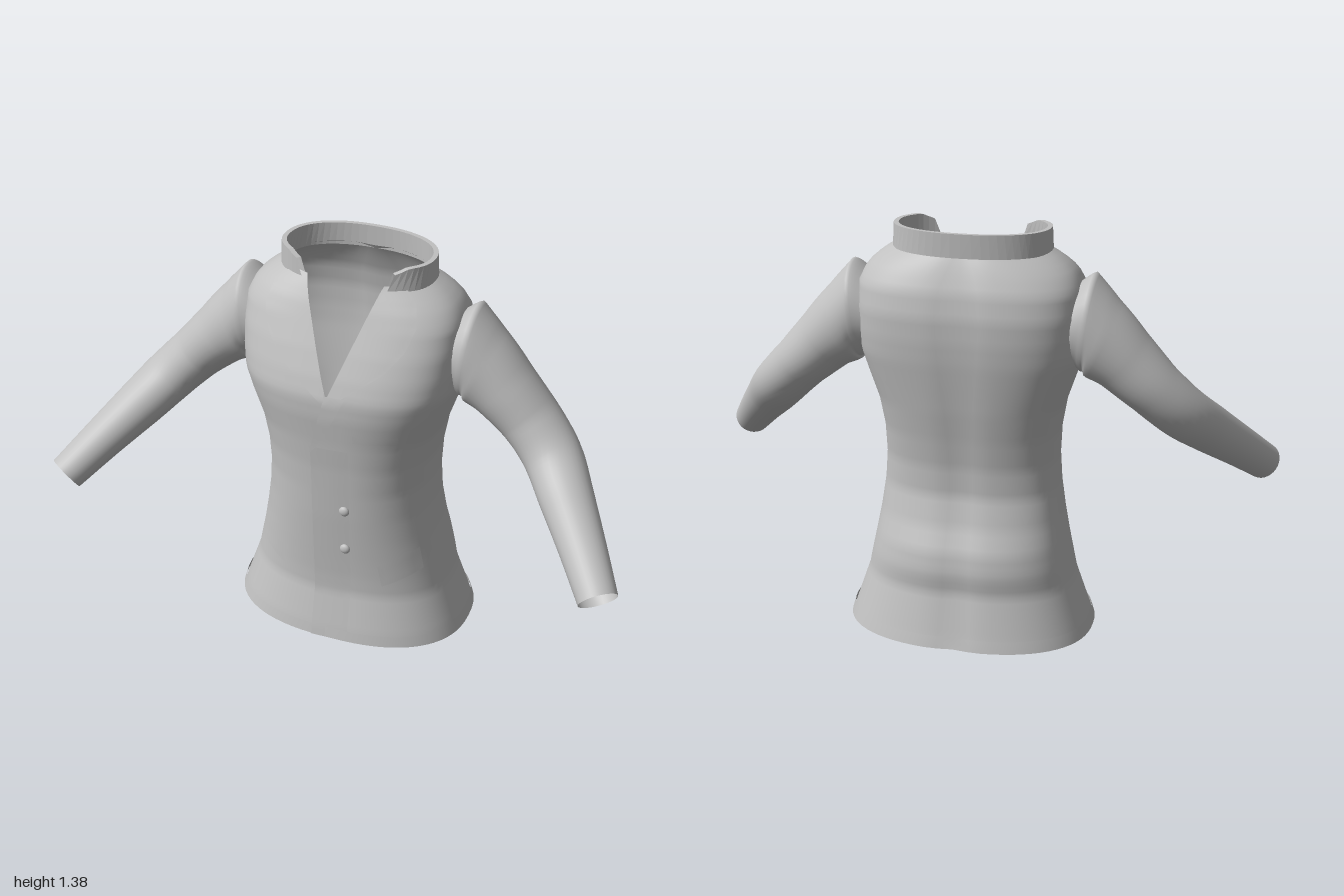
import * as THREE from 'three';
import { mergeVertices } from 'three/addons/utils/BufferGeometryUtils.js';

const cloth = new THREE.MeshStandardMaterial({ color: 0xc0c0c0, side: THREE.DoubleSide });
cloth.name = 'grey cloth';
const ZC = -0.06; // depth at which the torso is widest

// Torso cross-sections: y, half width, front z, back z, squareness
const TORSO = [
  [0, 0.42, 0.235, -0.36, 2.4], [0.04, 0.408, 0.228, -0.348, 2.4], [0.18, 0.36, 0.195, -0.31, 2.4],
  [0.25, 0.345, 0.195, -0.316, 2.4], [0.32, 0.33, 0.198, -0.302, 2.4], [0.4, 0.315, 0.202, -0.265, 2.4],
  [0.5, 0.3, 0.207, -0.235, 2.4], [0.6, 0.293, 0.21, -0.235, 2.4], [0.7, 0.296, 0.213, -0.247, 2.5],
  [0.8, 0.312, 0.22, -0.262, 2.6], [0.9, 0.345, 0.23, -0.274, 2.7], [0.97, 0.366, 0.23, -0.282, 2.8],
  [1.04, 0.372, 0.206, -0.286, 2.9], [1.12, 0.373, 0.172, -0.285, 3], [1.2, 0.368, 0.135, -0.27, 2.9],
  [1.25, 0.345, 0.113, -0.25, 2.6], [1.29, 0.3, 0.093, -0.232, 2.3], [1.32, 0.25, 0.08, -0.215, 2],
];
// Lapel outer edge: y, x
const LAPEL = [[0.95, 0], [1.0, 0.07], [1.08, 0.18], [1.15, 0.235], [1.22, 0.257], [1.28, 0.24], [1.315, 0.2]];

// Linear look-up of a row in a table sorted by its first column
function row(table, y) {
  let i = 0;
  while (i < table.length - 2 && y > table[i + 1][0]) i++;
  const a = table[i], b = table[i + 1];
  const t = THREE.MathUtils.clamp((y - a[0]) / (b[0] - a[0]), 0, 1);
  return a.map((v, k) => v + (b[k] - v) * t);
}
const spow = (v, p) => Math.sign(v) * Math.pow(Math.abs(v), p);
const neckline = (y) => Math.max(0, ((y - 0.97) / 0.35) * 0.13);

// Surface from a rule p(u, v) -> [x, y, z]
function grid(nu, nv, p) {
  const pos = [], index = [];
  for (let j = 0; j <= nv; j++) for (let i = 0; i <= nu; i++) pos.push(...p(i / nu, j / nv));
  for (let j = 0; j < nv; j++) for (let i = 0; i < nu; i++) {
    const a = j * (nu + 1) + i, c = a + nu + 1;
    index.push(a, a + 1, c + 1, a, c + 1, c);
  }
  let g = new THREE.BufferGeometry();
  g.setAttribute('position', new THREE.Float32BufferAttribute(pos, 3));
  g.setIndex(index);
  g = mergeVertices(g, 1e-4);
  g.computeVertexNormals();
  return g;
}
const mirrored = (p, s) => (s > 0 ? p : (u, v) => { const q = p(1 - u, v); return [-q[0], q[1], q[2]]; });

// Point round the torso, u running from the front edge past the left, back and right
function torsoPoint(u, y, grow = 0) {
  const [, w, f, b, n] = row(TORSO, y);
  const a0 = Math.asin(Math.pow(neckline(y) / w, n / 2));
  const a = a0 + u * (2 * Math.PI - 2 * a0);
  const x = (w + grow) * spow(Math.sin(a), 2 / n);
  const c = spow(Math.cos(a), 2 / n);
  let z = ZC + c * (c > 0 ? f + grow - ZC : ZC - b + grow);
  if (c < 0) z += 0.01 * Math.exp(-((x / 0.05) ** 2)); // hollow of the spine
  return [x, y, z];
}
function frontZ(x, y) {
  const [, w, f, , n] = row(TORSO, y);
  return ZC + (f - ZC) * Math.pow(Math.max(0, 1 - Math.pow(Math.abs(x / w), n)), 1 / n);
}

// Sleeve stations: x, y, z, upright radius, sideways radius
const SLEEVE = [
  [0.33, 1.08, -0.07, 0.13, 0.12], [0.385, 1.085, -0.07, 0.165, 0.132], [0.43, 1.035, -0.07, 0.138, 0.13],
  [0.5, 0.97, -0.066, 0.112, 0.12], [0.6, 0.875, -0.055, 0.096, 0.108], [0.69, 0.785, -0.012, 0.09, 0.1],
  [0.77, 0.7, 0.085, 0.083, 0.09], [0.86, 0.605, 0.2, 0.072, 0.077], [0.948, 0.508, 0.318, 0.063, 0.065],
];
const sleevePath = new THREE.CatmullRomCurve3(SLEEVE.map((s) => new THREE.Vector3(s[0], s[1], s[2])), false, 'catmullrom', 0.5);
const sleeveTable = SLEEVE.map((s, i) => [i / (SLEEVE.length - 1), s[3], s[4]]);
function sleevePoint(u, v) {
  const c = sleevePath.getPoint(v), t = sleevePath.getTangent(v);
  if (v < 0.3) t.lerp(new THREE.Vector3(0.8, -0.6, 0), 1 - v / 0.3).normalize();
  const square = new THREE.Vector3(0, 1, 0).addScaledVector(t, -t.y).normalize();
  const up = new THREE.Vector3(0.12, 1, 0).normalize().lerp(square, THREE.MathUtils.smoothstep(v, 0.12, 0.42)).normalize();
  const side = new THREE.Vector3().crossVectors(t, up).normalize();
  const [, ru, rv] = row(sleeveTable, v);
  const a = u * Math.PI * 2;
  c.addScaledVector(up, Math.cos(a) * ru).addScaledVector(side, Math.sin(a) * rv);
  return c.toArray();
}

// Standing collar: wall section from outer bottom over the top to inner bottom
function collarPoint(u, v) {
  const k = Math.min(3, Math.round(v * 4) % 4);
  const inner = k > 1, top = k === 1 || k === 2;
  const a0 = top ? 0.66 : 0.54;
  const a = 2 * Math.PI - a0 - u * (2 * Math.PI - 2 * a0);
  const grow = inner ? -0.016 : 0;
  const c = Math.cos(a);
  const x = (0.262 - (top ? 0.004 : 0) + grow) * spow(Math.sin(a), 0.9);
  const z = ZC + spow(c, 0.9) * (c > 0 ? 0.15 + grow : 0.168 + grow);
  const y = top ? 1.385 - 0.022 * THREE.MathUtils.smoothstep(c, 0.6, 0.85) : 1.308;
  return [x, y, z];
}

export function createModel() {
  const jacket = new THREE.Group();
  jacket.name = 'jacket';
  const add = (name, geometry) => {
    const m = new THREE.Mesh(geometry, cloth);
    m.name = name;
    jacket.add(m);
    return m;
  };
  // Cloth piece lying on the chest; edges(v) gives [y, x0, x1]
  const overlay = (lift, edges) => (u, v) => {
    const [y, x0, x1] = edges(v);
    const x = x0 + (x1 - x0) * u;
    return [x, y, frontZ(x, y) + lift];
  };

  // Torso and hem
  add('torso', grid(72, 66, (u, v) => torsoPoint(u, v * 1.32)));
  add('hemBand', grid(72, 2, (u, v) => torsoPoint(u, v * 0.04, 0.005)));

  // Collar, flat-sided with crisp edges
  const collar = grid(48, 4, (u, v) => collarPoint(1 - u, v)).toNonIndexed();
  collar.computeVertexNormals();
  add('collar', collar);

  // Front overlap, lying over the wearer's right panel
  add('frontOverlap', grid(4, 40, (u, v) => {
    const y = v * 0.78, x = -0.06 + u * 0.13;
    return [x, y, frontZ(x, y) + 0.008 * (1 - u)];
  }));
  // Tail of the upper lapel, tapering down to the overlap edge
  add('lapelTail', grid(3, 10, overlay(0.014, (v) => [0.76 + v * 0.23, -0.061 + v * 0.061, -0.058 + 0.125 * Math.pow(v, 0.8)])));

  for (const s of [1, -1]) {
    const side = s > 0 ? 'left' : 'right';
    add(side + 'Sleeve', grid(32, 48, mirrored(sleevePoint, s)));
    add(side + 'Lapel', grid(8, 30, mirrored(overlay(0.008, (v) => {
      const y = 0.95 + v * 0.365;
      return [y, neckline(y), Math.max(neckline(y), row(LAPEL, y)[1])];
    }), s)));
    // Slanted pocket flap
    add(side + 'PocketFlap', grid(6, 4, mirrored((u, v) => {
      const x = 0.18 + u * 0.12 - v * 0.015, y = 0.235 + u * 0.055 + v * 0.085;
      return [x, y, frontZ(x, y) + 0.009];
    }, s)));
  }

  // Breast pocket welt
  add('breastPocket', grid(6, 1, overlay(0.006, (v) => [0.825 + v * 0.03, 0.09, 0.23])));

  // Buttons
  for (const y of [0.54, 0.38]) {
    const button = add('button', new THREE.SphereGeometry(0.018, 16, 10));
    button.scale.z = 0.6;
    button.position.set(0.055, y, frontZ(0.055, y) + 0.006);
  }
  return jacket;
}
